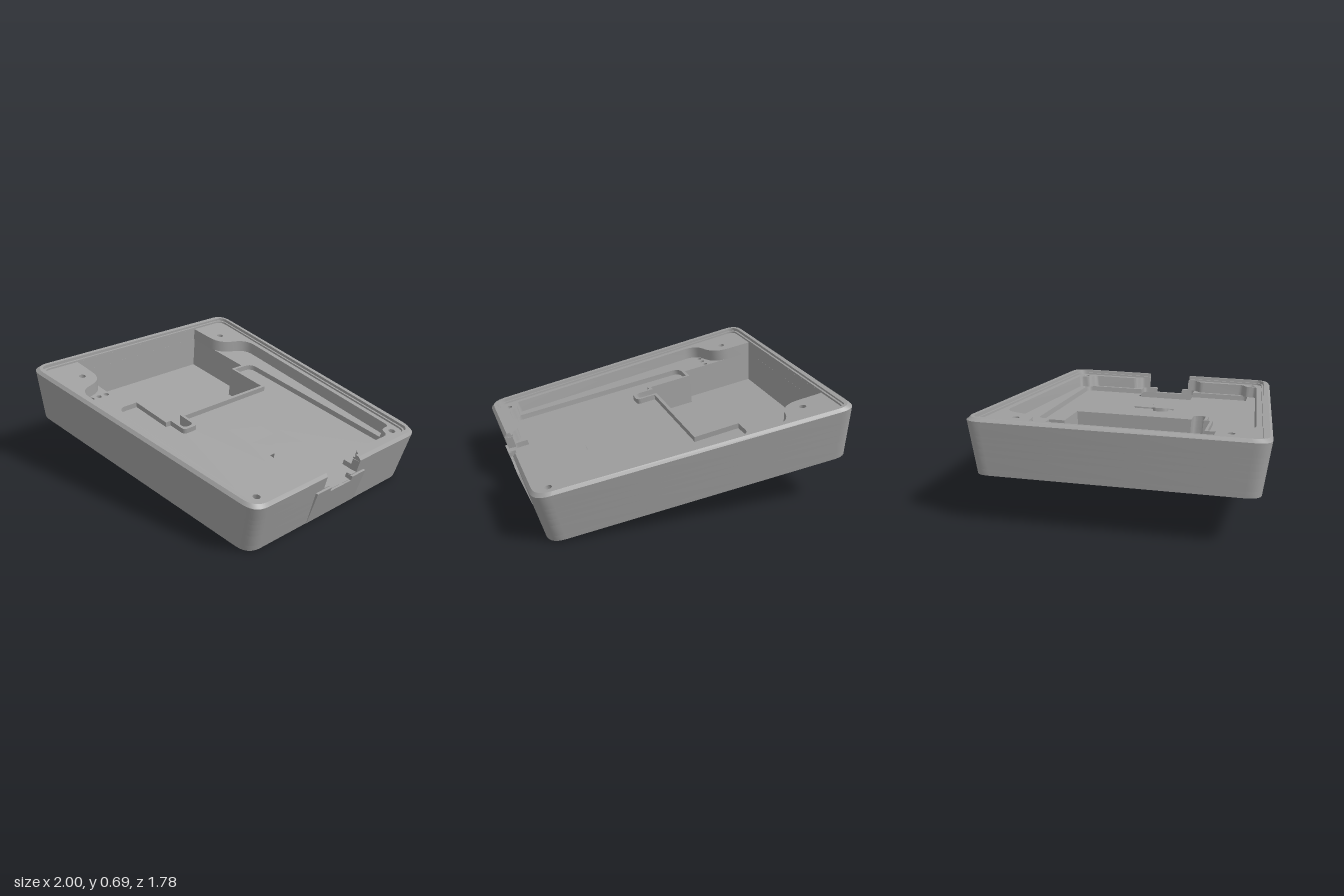
import * as THREE from 'three';
import { toCreasedNormals } from 'three/addons/utils/BufferGeometryUtils.js';

const TILT = THREE.MathUtils.degToRad(10);
const shell = new THREE.MeshStandardMaterial({ color: 0xa0a0a0 });
shell.name = 'grey plastic';

// Walls flare outward with height v (base footprint -> footprint at v)
const flareX = (b, v) => b * (1 + 0.148 * v) - 0.03 * v;
const flareZ = (z, v) => z * (1 + 0.16 * v);

// Plan position seen at height v of the tilted tray -> base footprint
function toBase([x, z, r = 0], v) {
  const u = (x - v * Math.sin(TILT)) / Math.cos(TILT);
  return [(u + 0.03 * v) / (1 + 0.148 * v), z / (1 + 0.16 * v), r];
}

// Polygon of [x, z, radius] corners -> points with rounded corners
function rounded(corners) {
  const out = [];
  const n = corners.length;
  corners.forEach(([x, z, r = 0], i) => {
    const p = new THREE.Vector2(x, -z);
    if (!r) return out.push(p);
    const ends = [corners[(i + n - 1) % n], corners[(i + 1) % n]].map(([a, b]) => {
      const d = new THREE.Vector2(a, -b).sub(p);
      return d.setLength(Math.min(r, d.length() * 0.48)).add(p);
    });
    out.push(...new THREE.QuadraticBezierCurve(ends[0], p, ends[1]).getPoints(7));
  });
  return out;
}
const plan = (corners, v) => rounded(corners.map((c) => toBase(c, v)));
const rect = (x0, x1, z0, z1, r, v) => plan([[x0, z0, r], [x1, z0, r], [x1, z1, r], [x0, z1, r]], v);
function circle(x, z, r, v) {
  const [cx, cz] = toBase([x, z], v);
  return Array.from({ length: 20 }, (_, i) => {
    const a = (i / 20) * Math.PI * 2;
    return new THREE.Vector2(cx + r * Math.cos(a), -cz + r * Math.sin(a));
  });
}

// Tapered outline, running from the notch edge round to its other edge
function outline(inset, r, notch) {
  const R = 0.919 - inset, L = -1.015 + inset, zr = 0.735 - inset, zl = 0.85 - inset;
  const body = [[R, zr, r], [L, zl, r], [L, -zl, r], [R, -zr, r]];
  return rounded(notch ? [[R, notch], ...body, [R, -notch]] : body);
}
// Front half of a path followed by its mirrored back half
const mirrored = (half) => [...half, ...half.slice().reverse().map(([x, z, r]) => [x, -z, r])];

// One horizontal layer of the tray
function layer(name, v0, v1, points, holes, chamfer = false) {
  const shape = new THREE.Shape(points);
  shape.holes = holes.map((h) => new THREE.Path(h));
  let geo = new THREE.ExtrudeGeometry(shape, { depth: v1 - v0, bevelEnabled: false });
  geo.rotateX(-Math.PI / 2).translate(0, v0, 0);
  const p = geo.attributes.position;
  for (let i = 0; i < p.count; i++) {
    let b = p.getX(i), z = p.getZ(i);
    const v = p.getY(i);
    if (chamfer && v > (v0 + v1) / 2) {
      const half = 0.85 - (b + 1.015) * 0.0595;
      if (Math.abs(z) > half - 0.028 || b < -0.987 || b > 0.891) {
        b *= 0.979;
        z *= 0.977;
      }
    }
    p.setXYZ(i, flareX(b, v), v, flareZ(z, v));
  }
  geo = toCreasedNormals(geo, 0.5);
  const mesh = new THREE.Mesh(geo, shell);
  mesh.name = name;
  return mesh;
}

export function createModel() {
  const model = new THREE.Group();
  model.name = 'tiltedEnclosure';
  const tray = new THREE.Group();
  tray.name = 'tray';
  tray.rotation.z = -TILT;
  tray.position.y = 0.1645;
  model.add(tray);

  // Screw holes, wide underneath
  const screws = (r) => [[-0.76, 0.645], [-0.76, -0.65], [0.88, 0.645], [0.88, -0.65]]
    .map(([x, z]) => circle(x, z, r, 0.32));

  // Deep bay on the left, with and without its cable tab
  const bay = (tab) => plan([
    [-0.945, 0.545], [-0.43, 0.545], [-0.43, 0.448], [-0.13, 0.448],
    ...(tab ? [[-0.13, 0.405], [0.0, 0.405, 0.03], [0.0, 0.325, 0.03], [-0.13, 0.325]] : []),
    [-0.13, -0.448], [-0.43, -0.448], [-0.43, -0.55], [-0.945, -0.55]], 0.22);

  // Small recesses in the board floor
  const windowHole = rect(0.05, 0.22, -0.555, -0.465, 0, 0.2);
  const windowRim = rect(0.025, 0.25, -0.575, -0.45, 0, 0.2);
  const shallow = rect(-0.108, 0.33, -0.15, 0.14, 0.025, 0.2);
  const portBay = plan([
    [0.93, 0.2, 0.03], [0.5, 0.2, 0.05], [0.5, 0.07, 0.02], [0.425, 0.07, 0.04],
    [0.425, -0.04, 0.04], [0.5, -0.04, 0.02], [0.5, -0.2, 0.05], [0.93, -0.2, 0.03]], 0.2);

  // Board pocket, wrapped round the bay's raised lip and open at the port
  const boardPocket = plan([
    [0.93, 0.1], [0.93, 0.2, 0.03], [0.83, 0.2], [0.83, 0.62, 0.04], [-0.41, 0.62, 0.06],
    [-0.41, 0.465], [-0.11, 0.465], [-0.11, 0.425], [0.02, 0.425, 0.03], [0.02, 0.305, 0.03],
    [-0.11, 0.305], [-0.11, -0.465], [-0.41, -0.465], [-0.41, -0.63, 0.06],
    [0.83, -0.63, 0.04], [0.83, -0.2], [0.93, -0.2, 0.03], [0.93, -0.1]], 0.21);

  // Upper cavity with curved corner bosses
  const cavity = plan(mirrored([
    [0.94, 0.15], [0.94, 0.22, 0.03], [0.885, 0.245, 0.03], [0.885, 0.58, 0.03],
    [0.82, 0.605, 0.03], [0.82, 0.687, 0.03], [-0.6, 0.775, 0.09], [-0.665, 0.55, 0.11],
    [-0.945, 0.55]]), 0.3);

  const vents = [0.572, 0.632, 0.692].map((z) => circle(-0.6, z, 0.017, 0.24));
  const full = outline(0, 0.1);
  const ring = (notch, inner) => [...outline(0, 0.1, notch), ...inner.slice().reverse()];

  tray.add(
    layer('base', 0, 0.04, full, [...screws(0.035), windowHole]),
    layer('lowerBody', 0.04, 0.12, full, [...screws(0.022), windowHole, bay(false)]),
    layer('recessBody', 0.12, 0.165, full, [...screws(0.022), windowHole, bay(true), shallow]),
    layer('boardFloor', 0.165, 0.21, full,
      [...screws(0.022), windowRim, bay(true), shallow, portBay]),
    layer('shelf', 0.21, 0.245, ring(0.1, boardPocket), [...screws(0.022), ...vents, bay(true)]),
    layer('wallAndBosses', 0.245, 0.322, ring(0.15, cavity), screws(0.022)),
    layer('rimStep', 0.322, 0.334, ring(0.15, outline(0.054, 0.06, 0.15)), []),
    layer('rim', 0.334, 0.354, ring(0.15, outline(0.042, 0.07, 0.15)), [], true),
  );

  // Wedge-shaped plate under the port, dipped in the middle
  for (const [z0, z1, h] of [[-0.23, -0.1, 0.24], [-0.1, 0.1, 0.208], [0.1, 0.23, 0.24]]) {
    const k = h / 0.24;
    const side = new THREE.Shape([
      new THREE.Vector2(0.905, 0), new THREE.Vector2(0.921, 0),
      new THREE.Vector2(0.921 + 0.04 * k, h), new THREE.Vector2(0.905 + 0.02 * k, h)]);
    const geo = new THREE.ExtrudeGeometry(side, { depth: z1 - z0, bevelEnabled: false });
    geo.translate(0, 0, z0);
    const plate = new THREE.Mesh(geo, shell);
    plate.name = 'portPlate';
    tray.add(plate);
  }
  return model;
}
